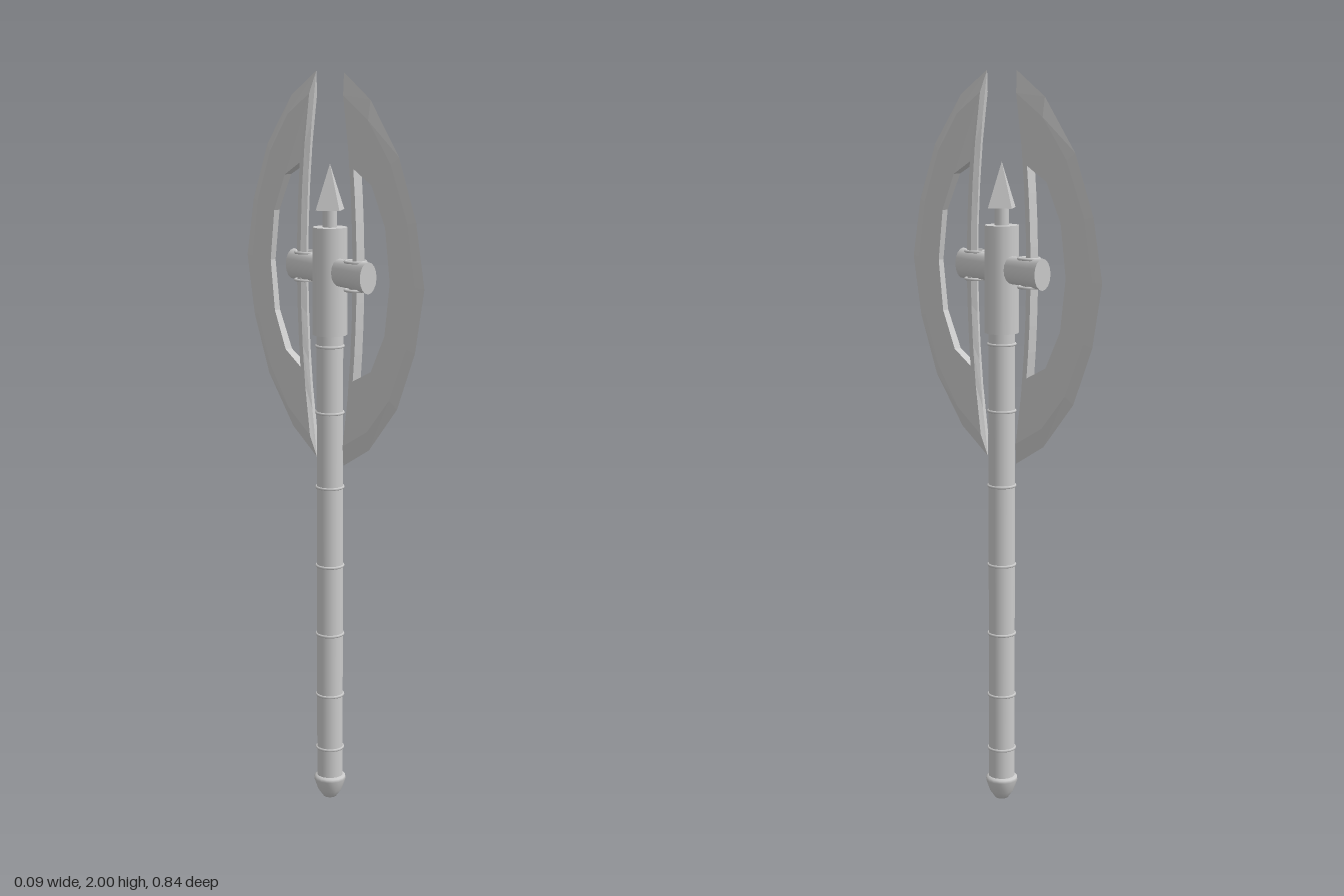
import * as THREE from 'three';

const CY = 1.485; // height of the crossbar and blade centre
const smooth = new THREE.MeshStandardMaterial({ color: 0xcccccc, side: THREE.DoubleSide });
const flat = new THREE.MeshStandardMaterial({ color: 0xcccccc, flatShading: true });

function add(parent, name, geometry, material, x = 0, y = 0, z = 0) {
  const mesh = new THREE.Mesh(geometry, material);
  mesh.name = name;
  mesh.position.set(x, y, z);
  parent.add(mesh);
  return mesh;
}

const lathe = (pts, segments) =>
  new THREE.LatheGeometry(pts.map(([r, y]) => new THREE.Vector2(r, y)), segments);

// Crescent blade: loops (outer edge, bevel, hole) lofted around both faces
function bladeGeometry() {
  const outer = [[0.065, 2], [0.185, 1.935], [0.31, 1.8], [0.385, 1.645], [0.422, CY],
    [0.385, 1.32], [0.31, 1.165], [0.185, 1.035], [0.065, 0.97]];
  // six-sided half ellipse of the hole, matched to the nine outer points
  const hole = [0, 1, 1, 2, 3, 4, 5, 5, 6].map((k) => {
    const a = Math.PI / 2 - (k * Math.PI) / 6;
    return [0.127 + 0.158 * Math.cos(a), CY + 0.275 * Math.sin(a)];
  });
  const inset = outer.map(() => 0.24);
  // bowed back edge, from the lower tip to the upper tip
  for (let i = 1; i < 8; i++) {
    const t = -1 + i / 4;
    outer.push([0.115 - 0.05 * t * t, CY + 0.515 * t]);
    hole.push([0.143 - 0.016 * t * t, CY + 0.275 * t]);
    inset.push(0.35);
  }
  const bevel = outer.map(([z, y], i) => [
    z + (hole[i][0] - z) * inset[i], y + (hole[i][1] - y) * inset[i]]);
  const half = (z) => Math.min(0.0125, 0.0125 - 0.03 * (z - 0.13));
  const at = (loop, side) => loop.map(([z, y]) => [side * half(z), y, z]);
  const loops = [at(outer, 0), at(bevel, 1), at(hole, 1), at(hole, -1), at(bevel, -1), at(outer, 0)];

  const pos = [];
  const n = outer.length;
  for (let l = 0; l < loops.length - 1; l++) {
    for (let i = 0; i < n; i++) {
      const j = (i + 1) % n;
      const a = loops[l][i], b = loops[l][j], c = loops[l + 1][j], d = loops[l + 1][i];
      pos.push(...a, ...b, ...c, ...a, ...c, ...d);
    }
  }
  const g = new THREE.BufferGeometry();
  g.setAttribute('position', new THREE.Float32BufferAttribute(pos, 3));
  g.computeVertexNormals();
  return g;
}

export function createModel() {
  const model = new THREE.Group();
  model.name = 'doubleAxe';

  // Handle with its binding rings and pommel
  add(model, 'shaft', new THREE.CylinderGeometry(0.036, 0.036, 1.25, 16), smooth, 0, 0.695, 0);
  const ring = new THREE.TorusGeometry(0.036, 0.004, 6, 20).rotateX(Math.PI / 2);
  [0.155, 0.31, 0.485, 0.68, 0.9, 1.105, 1.285].forEach((y) => add(model, 'gripRing', ring, smooth, 0, y, 0));
  add(model, 'pommel', lathe([[0, 0.003], [0.018, 0.009], [0.033, 0.03], [0.044, 0.062],
    [0.043, 0.07], [0.034, 0.075], [0, 0.075]], 16), smooth);

  // Head socket and top spike
  add(model, 'socket', new THREE.CylinderGeometry(0.046, 0.046, 0.285, 12), smooth, 0, 1.4575, 0);
  add(model, 'spikeNeck', new THREE.CylinderGeometry(0.019, 0.019, 0.06, 12), smooth, 0, 1.625, 0);
  add(model, 'spike', new THREE.ConeGeometry(0.045, 0.12, 4), flat, 0, 1.705, 0);

  // Oval crossbar, slightly flared at its ends
  const bar = lathe([[0.026, -0.178], [0.024, -0.14], [0.023, -0.06], [0.023, 0.06],
    [0.024, 0.14], [0.026, 0.178]], 16).rotateX(Math.PI / 2).scale(1, 1.6, 1);
  add(model, 'crossbar', bar, smooth, 0, CY, 0);
  const cap = new THREE.CircleGeometry(0.026, 16).scale(1, 1.6, 1);
  for (const s of [1, -1]) {
    add(model, 'crossbarCap', cap, smooth, 0, CY, s * 0.178).rotation.y = s > 0 ? 0 : Math.PI;
  }

  // Blades, each held by a ring above and below the crossbar
  const blade = bladeGeometry();
  const holder = new THREE.TorusGeometry(0.027, 0.004, 6, 20).rotateX(Math.PI / 2);
  for (const turn of [0, Math.PI]) {
    const side = new THREE.Group();
    side.name = turn ? 'backBlade' : 'frontBlade';
    add(side, 'blade', blade, flat);
    for (const dy of [-0.037, 0.037]) add(side, 'bladeRing', holder, smooth, 0, CY + dy, 0.12);
    side.rotation.y = turn;
    model.add(side);
  }
  return model;
}
